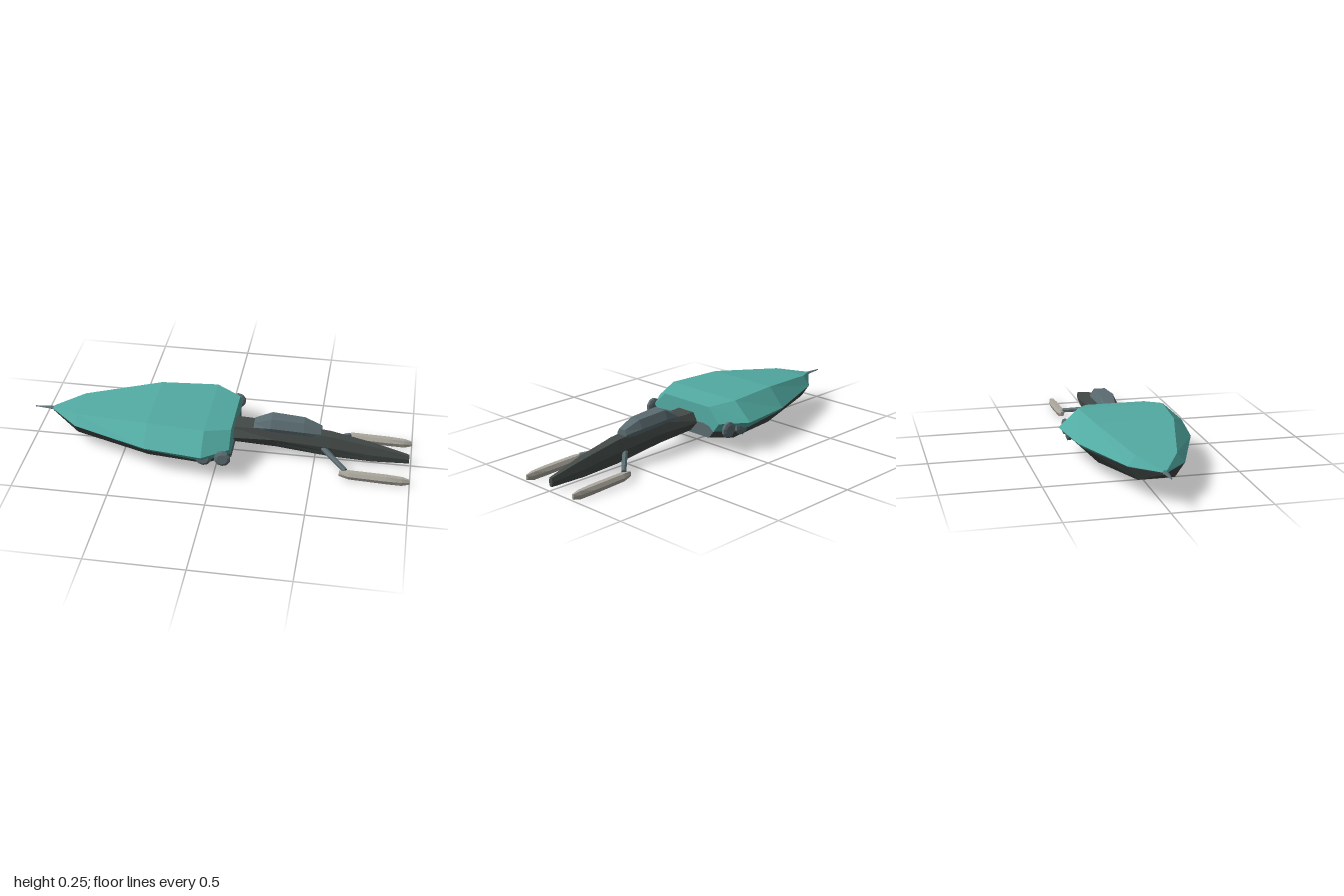
import * as THREE from 'three';

const material = (name, color) => {
  const m = new THREE.MeshStandardMaterial({ color });
  m.name = name;
  return m;
};

// Eight-point ring at x: flat top, wide middle, flat bottom; f places the extra point on the lower flank
function ring(x, topZ, topY, midZ, midY, botZ, botY, f = 0.5) {
  const half = [
    [topZ, topY], [midZ, midY],
    [midZ + (botZ - midZ) * f, midY + (botY - midY) * f], [botZ, botY],
  ];
  const other = half.map(([z, y]) => [-z, y]).reverse();
  return [...half, ...other].map(([z, y]) => new THREE.Vector3(x, y, z));
}

// Faceted skin through rings ordered by x; sides lists a material for each strip around the ring
function loft(name, rings, sides, capMat) {
  const pos = [], mats = [...new Set([...sides, capMat])];
  const geo = new THREE.BufferGeometry();
  const tri = (...pts) => pts.forEach(p => pos.push(p.x, p.y, p.z));
  mats.forEach((mat, m) => {
    const start = pos.length / 3;
    sides.forEach((side, i) => {
      if (side !== mat) return;
      const j = (i + 1) % 8;
      for (let k = 0; k < rings.length - 1; k++) {
        const a = rings[k], b = rings[k + 1];
        tri(a[i], a[j], b[j]);
        tri(a[i], b[j], b[i]);
      }
    });
    if (mat === capMat) {
      const a = rings[0], b = rings[rings.length - 1];
      for (let i = 1; i < 7; i++) {
        tri(a[0], a[i + 1], a[i]);
        tri(b[0], b[i], b[i + 1]);
      }
    }
    geo.addGroup(start, pos.length / 3 - start, m);
  });
  geo.setAttribute('position', new THREE.Float32BufferAttribute(pos, 3));
  geo.computeVertexNormals();
  const mesh = new THREE.Mesh(geo, mats);
  mesh.name = name;
  return mesh;
}

export function createModel() {
  const group = new THREE.Group();
  const teal = material('teal hull', 0x52aaa2);
  const dark = material('dark underside', 0x434a48);
  const grey = material('blue grey fittings', 0x5a6b70);
  const pale = material('pale pods', 0xaba79d);
  const all = m => Array(8).fill(m);

  // Main hull: teal shell with a dark belly
  group.add(loft('hull', [
    ring(-0.90, 0.008, 0.172, 0.014, 0.163, 0.008, 0.152, 0.02),
    ring(-0.75, 0.10, 0.205, 0.14, 0.155, 0.09, 0.085, 0.04),
    ring(-0.35, 0.20, 0.255, 0.29, 0.158, 0.19, 0.055, 0.2),
    ring(-0.05, 0.225, 0.255, 0.33, 0.16, 0.215, 0.05, 0.58),
    ring(0.08, 0.16, 0.235, 0.235, 0.16, 0.165, 0.07, 0.55),
  ], [teal, teal, dark, dark, dark, teal, teal, teal], teal));

  // Grey lower panel on the hull's front face
  const panel = new THREE.Shape([
    [-0.165, 0.07], [0.165, 0.07], [0.196, 0.11], [0.17, 0.132], [0.13, 0.142],
    [0.08, 0.14], [-0.07, 0.113], [-0.09, 0.108], [-0.17, 0.108], [-0.196, 0.11],
  ].map(p => new THREE.Vector2(...p)));
  const panelMesh = new THREE.Mesh(new THREE.ShapeGeometry(panel), grey);
  panelMesh.rotation.y = Math.PI / 2;
  panelMesh.position.x = 0.082;
  panelMesh.name = 'frontPanel';
  group.add(panelMesh);

  // Tail spike
  group.add(loft('tailSpike', [
    ring(-1.0, 0.002, 0.166, 0.004, 0.164, 0.002, 0.162),
    ring(-0.94, 0.005, 0.168, 0.012, 0.164, 0.005, 0.16),
    ring(-0.88, 0.008, 0.17, 0.016, 0.163, 0.008, 0.155),
  ], all(grey), grey));

  // Long tapering neck
  group.add(loft('neck', [
    ring(0.04, 0.055, 0.182, 0.085, 0.132, 0.04, 0.085),
    ring(0.30, 0.04, 0.178, 0.056, 0.122, 0.03, 0.066),
    ring(0.58, 0.028, 0.155, 0.044, 0.095, 0.028, 0.034),
    ring(0.80, 0.02, 0.112, 0.032, 0.065, 0.026, 0.024),
    ring(0.99, 0.008, 0.065, 0.013, 0.045, 0.008, 0.02),
  ], all(dark), dark));

  // Raised cabin on the neck
  group.add(loft('cabin', [
    ring(0.18, 0.028, 0.198, 0.045, 0.18, 0.04, 0.16),
    ring(0.27, 0.036, 0.235, 0.056, 0.19, 0.045, 0.165),
    ring(0.44, 0.03, 0.225, 0.05, 0.18, 0.04, 0.155),
    ring(0.53, 0.02, 0.19, 0.034, 0.167, 0.03, 0.145),
  ], all(grey), grey));

  for (const s of [1, -1]) {
    const side = s > 0 ? 'left' : 'right';

    // Slim pod
    const pod = loft(side + 'Pod', [
      ring(0.64, 0.006, 0.048, 0.01, 0.036, 0.006, 0.022),
      ring(0.69, 0.013, 0.051, 0.023, 0.033, 0.014, 0.012),
      ring(0.88, 0.013, 0.046, 0.023, 0.027, 0.014, 0.004),
      ring(0.96, 0.01, 0.042, 0.016, 0.023, 0.01, 0.0),
      ring(1.0, 0.004, 0.034, 0.006, 0.022, 0.004, 0.008),
    ], all(pale), pale);
    pod.position.z = s * 0.172;
    group.add(pod);

    // Strut from neck to pod
    const from = new THREE.Vector3(0.54, 0.085, s * 0.03);
    const to = new THREE.Vector3(0.67, 0.048, s * 0.162);
    const dir = to.clone().sub(from);
    const strutGeo = new THREE.CylinderGeometry(0.013, 0.015, dir.length(), 6).toNonIndexed();
    strutGeo.computeVertexNormals();
    const strut = new THREE.Mesh(strutGeo, grey);
    strut.position.copy(from).lerp(to, 0.5);
    strut.quaternion.setFromUnitVectors(new THREE.Vector3(0, 1, 0), dir.normalize());
    strut.name = side + 'Strut';
    group.add(strut);

    // Pair of discs on the flank
    [[0.052, 0.133], [-0.045, 0.128]].forEach(([x, y], i) => {
      const profile = [[0, -0.014], [0.028, -0.014], [0.042, -0.007], [0.042, 0.007], [0.028, 0.014], [0, 0.014]];
      const geo = new THREE.LatheGeometry(profile.map(p => new THREE.Vector2(...p)), 10).toNonIndexed();
      geo.computeVertexNormals();
      geo.rotateX(Math.PI / 2);
      const disc = new THREE.Mesh(geo, grey);
      disc.position.set(x, y, s * 0.275);
      disc.name = side + (i ? 'RearDisc' : 'FrontDisc');
      group.add(disc);
    });
  }
  return group;
}
